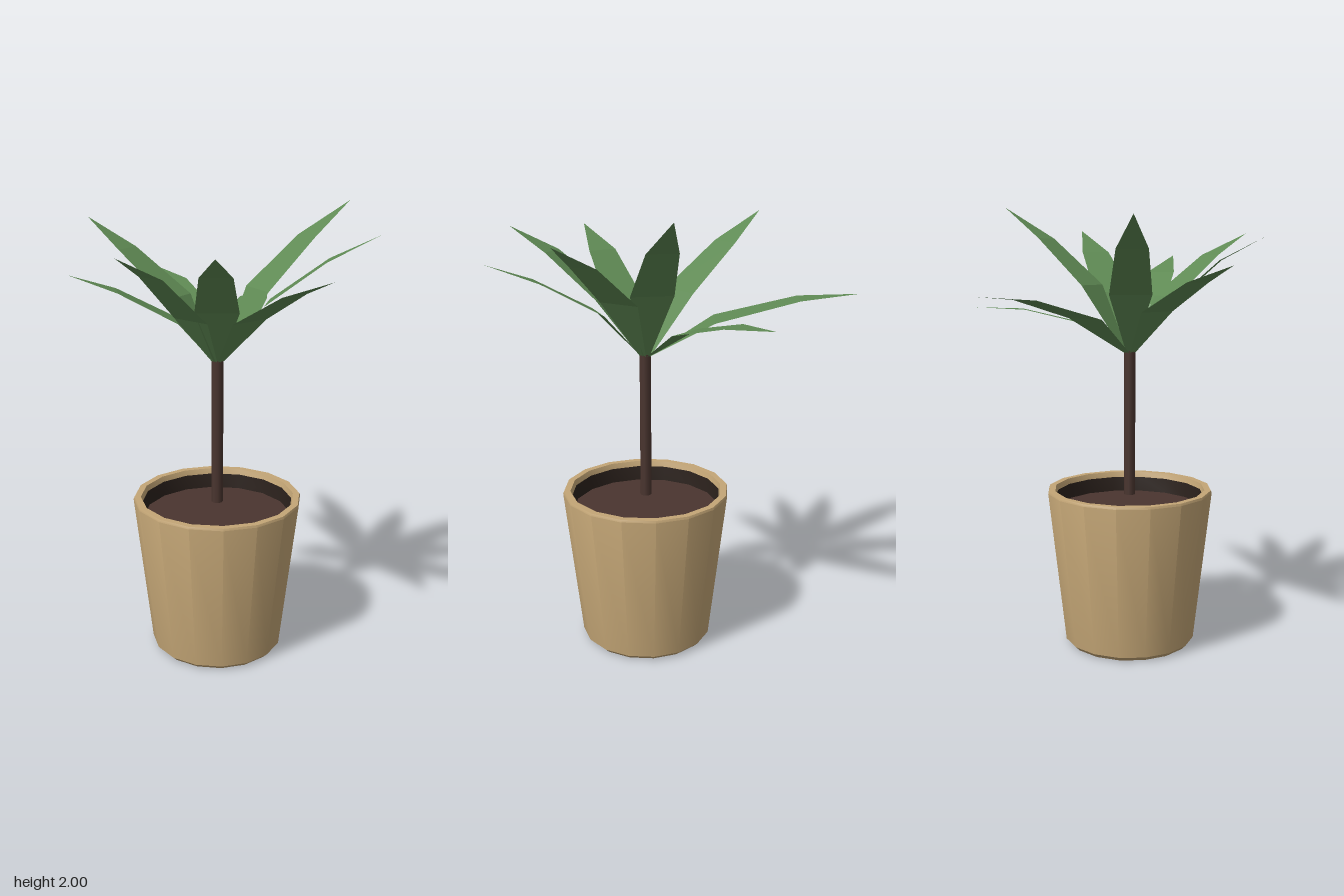
import * as THREE from 'three';
import { toCreasedNormals } from 'three/addons/utils/BufferGeometryUtils.js';

const clay = new THREE.MeshStandardMaterial({ color: 0xc4a676 });
const soilBrown = new THREE.MeshStandardMaterial({ color: 0x4a352f });
const shadowBrown = new THREE.MeshStandardMaterial({ color: 0x2b211c });
const leafGreen = new THREE.MeshStandardMaterial({ color: 0x5f8a54, side: THREE.DoubleSide });

const SIDES = 16;
const LEAF_BASE = 1.345;

function add(group, name, geometry, material) {
  const mesh = new THREE.Mesh(geometry, material);
  mesh.name = name;
  group.add(mesh);
  return mesh;
}

// Revolved profile, given from bottom outside to top inside
function lathe(points, crease = 0.6) {
  const profile = points.map(([r, y]) => new THREE.Vector2(r, y));
  return toCreasedNormals(new THREE.LatheGeometry(profile, SIDES), crease);
}

// Flat-sided folded blade growing along +x; each row is [distance, rise, width]
function leafGeometry(rows) {
  const positions = [];
  for (const [d, y, w] of rows) positions.push(d, y, w / 2, d, y, -w / 2);
  const index = [];
  for (let i = 0; i < rows.length - 1; i++) {
    const a = i * 2;
    index.push(a, a + 2, a + 1);
    if (i < rows.length - 2) index.push(a + 1, a + 2, a + 3);
  }
  const indexed = new THREE.BufferGeometry();
  indexed.setAttribute('position', new THREE.Float32BufferAttribute(positions, 3));
  indexed.setIndex(index);
  const geometry = indexed.toNonIndexed();
  geometry.computeVertexNormals();
  return geometry;
}

export function createModel() {
  const plant = new THREE.Group();
  plant.name = 'pottedPlant';
  plant.position.set(0.057, 0, 0.018);

  // Tapered pot with a bevelled foot and an inner lip
  add(plant, 'pot', lathe([
    [0, 0], [0.28, 0], [0.3, 0.02], [0.378, 0.715], [0.374, 0.725], [0.345, 0.725], [0.338, 0.7],
  ]), clay);
  add(plant, 'potInside', lathe([[0.338, 0.7], [0.332, 0.63]]).clone(), shadowBrown)
    .material.side = THREE.DoubleSide;

  // Soil surface
  const soil = add(plant, 'soil', new THREE.CircleGeometry(0.335, SIDES), soilBrown);
  soil.rotation.x = -Math.PI / 2;
  soil.position.y = 0.632;

  // Slim stem
  const stem = add(plant, 'stem', new THREE.CylinderGeometry(0.026, 0.026, 0.66, 8), soilBrown);
  stem.position.y = 1.025;

  // Crown of nine leaves: [distance, rise] at the broad fold, the upper fold and the tip
  const leaves = [
    [0.17, 0.205, 0.40, 0.41, 0.59, 0.51],
    [0.19, 0.25, 0.435, 0.435, 0.64, 0.535],
    [0.21, 0.21, 0.47, 0.355, 0.68, 0.435],
    [0.21, 0.265, 0.46, 0.45, 0.665, 0.555],
    [0.195, 0.30, 0.44, 0.51, 0.67, 0.655],
    [0.225, 0.14, 0.47, 0.20, 0.68, 0.21],
    [0.30, 0.165, 0.66, 0.255, 0.92, 0.275],
    [0.195, 0.265, 0.465, 0.455, 0.68, 0.58],
    [0.18, 0.19, 0.425, 0.32, 0.625, 0.39],
  ];
  const crown = new THREE.Group();
  crown.name = 'leafCrown';
  crown.position.y = LEAF_BASE;
  leaves.forEach(([d1, y1, d2, y2, d3, y3], i) => {
    const rows = [[0.018, 0, 0.03], [d1, y1, 0.185], [d2, y2, 0.132], [d3, y3, 0]];
    const leaf = add(crown, `leaf${i + 1}`, leafGeometry(rows), leafGreen);
    leaf.rotation.y = THREE.MathUtils.degToRad(-90 + i * 40);
  });
  plant.add(crown);

  const model = new THREE.Group();
  model.name = 'model';
  model.add(plant);
  return model;
}
